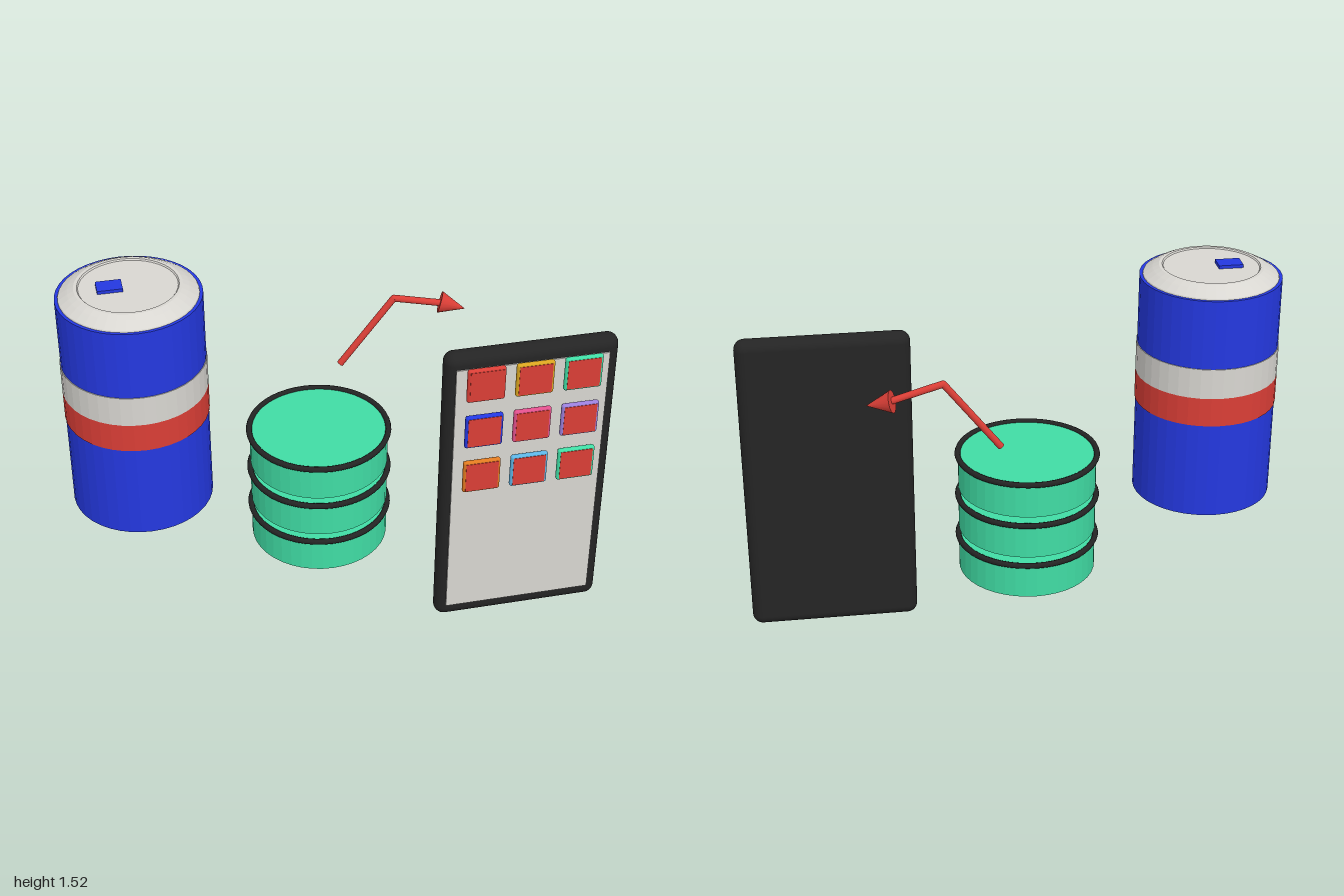
import * as THREE from 'three';
import { RoundedBoxGeometry } from 'three/addons/geometries/RoundedBoxGeometry.js';

const colors = {
  blue: 0x2438e0, red: 0xda3e36, silver: 0xd8d6d1, mint: 0x40dca4, black: 0x242424,
  yellow: 0xd9a520, pink: 0xe0508c, purple: 0x9a80dc, orange: 0xe07a20, skyBlue: 0x5cb4e4,
};

export function createModel() {
  const mats = {};
  for (const [name, color] of Object.entries(colors)) {
    mats[name] = new THREE.MeshStandardMaterial({ color });
    mats[name].name = name;
  }
  const model = new THREE.Group();
  model.name = 'model';

  const group = (name, x = 0, y = 0, z = 0) => {
    const g = new THREE.Group();
    g.name = name;
    g.position.set(x, y, z);
    model.add(g);
    return g;
  };
  const add = (parent, name, geometry, mat, x = 0, y = 0, z = 0) => {
    const mesh = new THREE.Mesh(geometry, mats[mat]);
    mesh.name = name;
    mesh.position.set(x, y, z);
    parent.add(mesh);
    return mesh;
  };
  // Faceted upright drum between two heights
  const drum = (parent, name, r, y0, y1, mat) => {
    const geo = new THREE.CylinderGeometry(r, r, y1 - y0, 40).toNonIndexed();
    geo.computeVertexNormals();
    return add(parent, name, geo, mat, 0, (y0 + y1) / 2, 0);
  };

  // Can with two painted bands, stepped lid and pull tab
  const can = group('can', -0.738, 0, -0.017);
  drum(can, 'canBody', 0.259, 0.62, 1.477, 'blue');
  drum(can, 'lowerBand', 0.262, 0.99, 1.10, 'red');
  drum(can, 'upperBand', 0.262, 1.10, 1.215, 'silver');
  const lidProfile = [
    [0.248, 1.475], [0.245, 1.482], [0.217, 1.5], [0.212, 1.503],
    [0.19, 1.514], [0.178, 1.514], [0.174, 1.509], [0, 1.509],
  ].map(([r, y]) => new THREE.Vector2(r, y));
  const lid = new THREE.LatheGeometry(lidProfile, 40).toNonIndexed();
  lid.computeVertexNormals();
  add(can, 'canLid', lid, 'silver');
  add(can, 'pullTab', new THREE.BoxGeometry(0.09, 0.012, 0.066), 'blue', -0.066, 1.515, 0);

  // Stack of three separate drums with dark rims
  const stack = group('drumStack', -0.067, 0, -0.017);
  for (let i = 0; i < 3; i++) {
    const y = 0.324 + i * 0.17;
    drum(stack, 'drumBody', 0.26, y, y + 0.135, 'mint');
    const rim = new THREE.TorusGeometry(0.262, 0.011, 8, 48).rotateX(Math.PI / 2);
    add(stack, 'drumRim', rim, 'black', 0, y + 0.135, 0);
  }

  // Handheld device with a screen
  const device = group('device', 0.67, 0.612, 0.211);
  add(device, 'deviceCase', new RoundedBoxGeometry(0.655, 1.224, 0.082, 5, 0.04), 'black');
  add(device, 'screen', new THREE.BoxGeometry(0.575, 1.11, 0.008), 'silver', -0.002, 0.003, 0.042);

  // Floating grid of tiles, each with a red face
  const tileColors = [
    ['red', 'yellow', 'mint'],
    ['blue', 'pink', 'purple'],
    ['orange', 'skyBlue', 'mint'],
  ];
  const tiles = group('tiles', 0.668, 0.912, 0.28);
  tileColors.forEach((row, r) => row.forEach((mat, c) => {
    const x = (c - 1) * 0.182, y = (1 - r) * 0.204;
    add(tiles, 'tile', new RoundedBoxGeometry(0.143, 0.14, 0.022, 3, 0.01), mat, x, y, 0);
    add(tiles, 'tileFace', new THREE.BoxGeometry(0.124, 0.122, 0.006), 'red', x, y, 0.0095);
  }));

  // Bent arrow behind the device
  const arrow = group('arrow');
  const up = new THREE.Vector3(0, 1, 0);
  const rod = (name, a, b, r0, r1) => {
    const from = new THREE.Vector3(...a), dir = new THREE.Vector3(...b).sub(from);
    const mesh = add(arrow, name, new THREE.CylinderGeometry(r1, r0, dir.length(), 16), 'red');
    mesh.position.copy(from).addScaledVector(dir, 0.5);
    mesh.quaternion.setFromUnitVectors(up, dir.normalize());
  };
  const bend = [0.266, 1.2, -0.222];
  rod('arrowTail', [0.06, 0.936, -0.22], bend, 0.013, 0.013);
  rod('arrowShaft', bend, [0.46, 1.148, -0.23], 0.013, 0.013);
  rod('arrowHead', [0.45, 1.15, -0.236], [0.541, 1.126, -0.207], 0.042, 0);
  add(arrow, 'arrowBend', new THREE.SphereGeometry(0.013, 12, 8), 'red', ...bend);

  return model;
}
